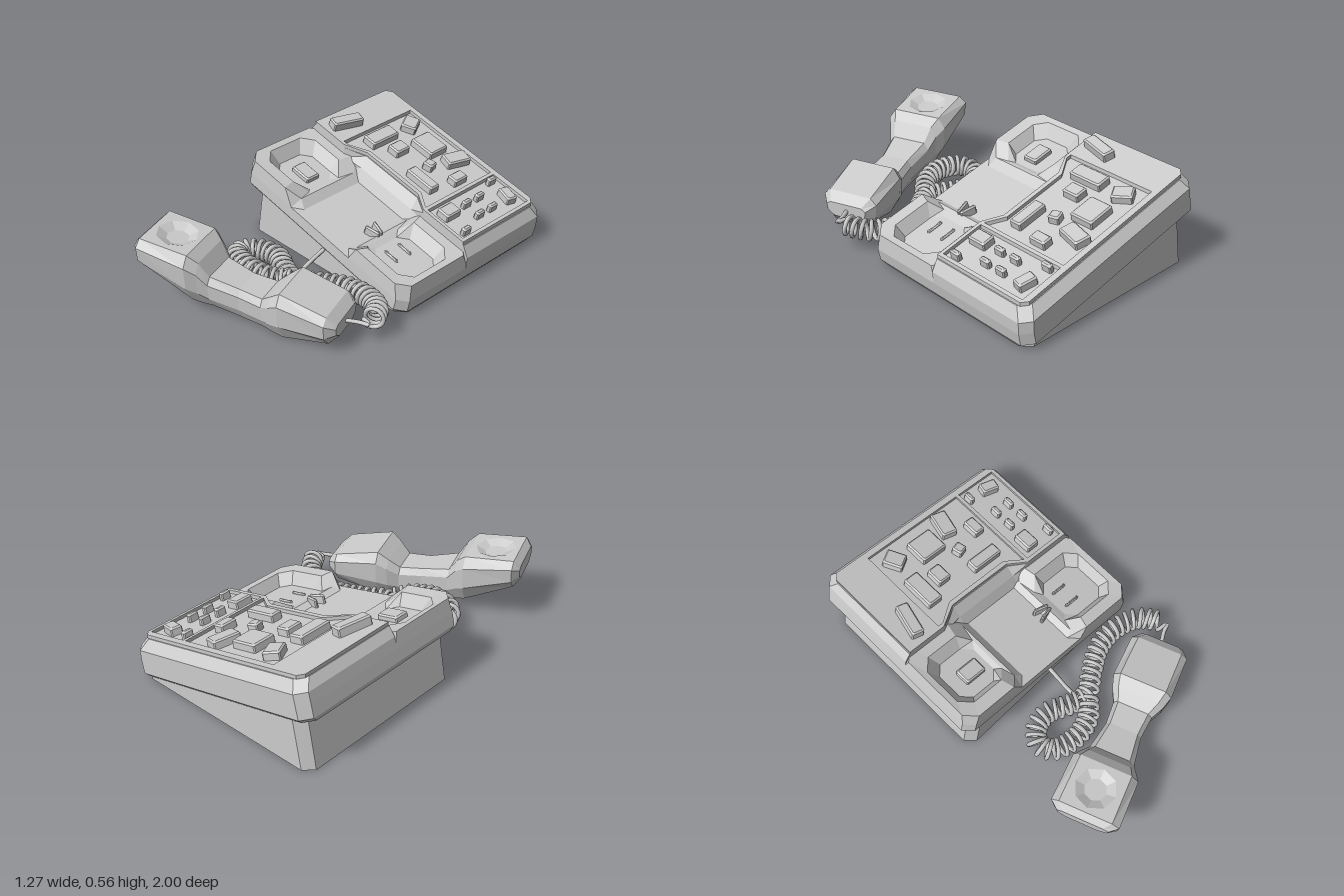
import * as THREE from 'three';

const TILT = 0.245;
const mat = new THREE.MeshStandardMaterial({ color: 0xcccccc, flatShading: true });
const smooth = new THREE.MeshStandardMaterial({ color: 0xcccccc });

// Point on the tilted console: x along it, v = height above its underside
const P = (x, v, z) => [x, 0.25 * (0.56 - x) + 1.03 * v, z];

// Skin through rings of equal count (counter-clockwise about the loft direction)
function loft(rings, { start = true, end = true, skip = () => false } = {}) {
  const pos = [];
  const tri = (a, b, c) => pos.push(...a, ...b, ...c);
  const n = rings[0].length;
  const centre = (r) => [0, 1, 2].map((k) => r.reduce((s, p) => s + p[k], 0) / n);
  for (let j = 0; j < rings.length - 1; j++) {
    for (let i = 0; i < n; i++) {
      if (skip(j, i)) continue;
      const k = (i + 1) % n, a = rings[j], b = rings[j + 1];
      tri(a[i], a[k], b[k]);
      tri(a[i], b[k], b[i]);
    }
  }
  const first = rings[0], last = rings[rings.length - 1];
  for (let i = 0; i < n; i++) {
    const k = (i + 1) % n;
    if (start) tri(first[k], first[i], centre(first));
    if (end) tri(last[i], last[k], centre(last));
  }
  const g = new THREE.BufferGeometry();
  g.setAttribute('position', new THREE.Float32BufferAttribute(pos, 3));
  g.computeVertexNormals();
  return g;
}

// Rectangle with cut corners, in x and z
const rect8 = (x0, x1, z0, z1, c) => [
  [x1, z0 + c], [x1 - c, z0], [x0 + c, z0], [x0, z0 + c],
  [x0, z1 - c], [x0 + c, z1], [x1 - c, z1], [x1, z1 - c],
];

function add(parent, name, geometry, material = mat) {
  const m = new THREE.Mesh(geometry, material);
  m.name = name;
  parent.add(m);
  return m;
}

// Bevelled block sitting on the console at height v
function key(parent, name, x, z, w, d, yaw = 0, v = 0.22, h = 0.045) {
  const ring = (y, e) => rect8(-w / 2 + e, w / 2 - e, -d / 2 + e, d / 2 - e, 0.006).map(([a, b]) => [a, y, b]);
  const m = add(parent, name, loft([ring(0, 0), ring(h - 0.008, 0), ring(h, 0.008)]));
  m.position.set(...P(x, v, z));
  m.rotation.set(0, yaw, -TILT, 'ZYX');
}

function buildConsole() {
  const g = new THREE.Group();
  g.name = 'console';

  // Wedge stand and lower tray
  const foot = rect8(-0.62, 0.55, -0.97, 0.09, 0.05).map(([x, z]) => [x, 0, z]);
  const footTop = rect8(-0.57, 0.55, -0.97, 0.09, 0.05).map(([x, z]) => P(x, 0.008, z));
  add(g, 'wedgeStand', loft([foot, footTop]));
  const level = (v, x0, x1, z0, z1) => rect8(x0, x1, z0, z1, 0.05).map(([x, z]) => P(x, v, z));
  add(g, 'lowerTray', loft([
    level(0, -0.63, 0.55, -0.97, 0.1), level(0.03, -0.64, 0.57, -1, 0.12), level(0.1, -0.625, 0.585, -1, 0.12),
  ]));

  // Raised keypad body, its front edge notched behind the handset channel
  const pad = (x0, x1, zb, notch, c = 0.05) => [
    [x1, zb + c], [x1 - c, zb], [x0 + c, zb], [x0, zb + c], [x0, -0.36],
    [-0.34, -0.36], [-0.22, notch], [0.17, notch], [0.27, -0.36], [x1, -0.36],
  ];
  const padRing = (v, ...a) => pad(...a).map(([x, z]) => P(x, v, z));
  add(g, 'keypadBody', loft([
    padRing(0.1, -0.625, 0.585, -1, -0.34), padRing(0.165, -0.61, 0.59, -1, -0.375),
    padRing(0.22, -0.575, 0.56, -0.96, -0.42),
  ]));

  // Keypad frame with two shallow recesses
  const vec = (pts) => pts.map(([x, z]) => new THREE.Vector2(x, -z));
  const shape = new THREE.Shape(vec(pad(-0.57, 0.555, -0.955, -0.425, 0.03)));
  shape.holes.push(
    new THREE.Path(vec([[-0.36, -0.92], [0.265, -0.92], [0.265, -0.385], [0.17, -0.45], [-0.22, -0.45], [-0.33, -0.38], [-0.36, -0.38]])),
    new THREE.Path(vec([[0.285, -0.92], [0.535, -0.92], [0.535, -0.38], [0.285, -0.38]])),
  );
  const frame = new THREE.ExtrudeGeometry(shape, { depth: 0.02, bevelEnabled: false });
  const p = frame.attributes.position;
  for (let i = 0; i < p.count; i++) p.setXYZ(i, ...P(p.getX(i), 0.22 + p.getZ(i), -p.getY(i)));
  frame.computeVertexNormals();
  add(g, 'keypadFrame', frame);

  // Keys: x, z, width, depth, yaw
  [
    [-0.27, -0.82, 0.09, 0.11, 0.5], [-0.085, -0.78, 0.16, 0.14], [0.08, -0.825, 0.09, 0.15, -0.25],
    [0.195, -0.71, 0.065, 0.1], [-0.28, -0.59, 0.09, 0.2], [-0.155, -0.605, 0.08, 0.1],
    [0.035, -0.655, 0.06, 0.06, 0.25], [0.1, -0.53, 0.19, 0.07], [0.31, -0.865, 0.03, 0.06],
    [0.44, -0.85, 0.1, 0.065, -0.25], [0.355, -0.465, 0.08, 0.11], [0.5, -0.44, 0.03, 0.06],
  ].forEach((k) => key(g, 'key', ...k));
  for (const x of [0.36, 0.455]) for (const z of [-0.705, -0.6]) key(g, 'smallKey', x, z, 0.03, 0.06);
  key(g, 'largeKey', -0.46, -0.49, 0.07, 0.19, -0.25, 0.235, 0.055);

  // Cradle cups: rims drop toward the channel (low = corner indices on that side)
  function cup(name, low, levels) {
    add(g, name, loft(levels.map(([v, vLow, c, ...r]) =>
      rect8(...r, c).map(([x, z], i) => P(x, low.includes(i) ? vLow : v, z)))));
  }
  cup('rightCradleCup', [0, 7], [
    [0.1, 0.1, 0.05, -0.625, -0.2, -0.42, 0.12], [0.185, 0.135, 0.06, -0.605, -0.24, -0.4, 0.115],
    [0.18, 0.13, 0.06, -0.57, -0.26, -0.3, 0.04], [0.115, 0.115, 0.05, -0.53, -0.29, -0.25, 0],
  ]);
  cup('leftCradleCup', [3, 4], [
    [0.1, 0.1, 0.05, 0.14, 0.585, -0.42, 0.12], [0.185, 0.125, 0.06, 0.18, 0.58, -0.4, 0.115],
    [0.18, 0.12, 0.06, 0.2, 0.54, -0.3, 0.05], [0.11, 0.11, 0.05, 0.23, 0.5, -0.25, 0.01],
  ]);
  key(g, 'speakerPad', -0.395, -0.115, 0.13, 0.09, 0, 0.11, 0.035);
  for (const z of [-0.17, -0.07]) key(g, 'cradleSlot', 0.315, z, 0.1, 0.014, 0, 0.105, 0.016);
  for (const s of [-1, 1]) key(g, 'hookProng', 0.14, -0.12 + s * 0.02, 0.09, 0.018, s * 0.25, 0.1, 0.05);
  return g;
}

function buildHandset() {
  const g = new THREE.Group();
  g.name = 'handset';
  // Sections: distance along, bottom, top, half width
  const S = [
    [-0.565, 0.27, 0.36, 0.14], [-0.53, 0.22, 0.395, 0.185], [-0.26, 0.08, 0.365, 0.18],
    [-0.21, 0.06, 0.32, 0.15], [-0.16, 0.05, 0.24, 0.125], [0, 0.015, 0.2, 0.1],
    [0.13, 0, 0.185, 0.11], [0.19, 0, 0.235, 0.145], [0.25, 0, 0.28, 0.165],
    [0.5, 0.04, 0.215, 0.16], [0.55, 0.09, 0.17, 0.12],
  ];
  const rings = S.map(([s, b, t, w]) => {
    const h = t - b, a = w * 0.78, f = w * 0.62;
    return [[t, -a], [t, a], [t - h * 0.2, w], [b + h * 0.35, w * 0.95], [b, f], [b, -f], [b + h * 0.35, -w * 0.95], [t - h * 0.2, -w]]
      .map(([y, z]) => [s, y, z]);
  });
  add(g, 'handsetBody', loft(rings, { skip: (j, i) => j === 1 && i === 0 }));

  // Earpiece face filling the open panel, with a faceted dish
  const [a, b] = [rings[1], rings[2]];
  const mid = (p, q) => p.map((v, k) => (v + q[k]) / 2);
  const rim = [b[0], mid(b[0], a[0]), a[0], mid(a[0], a[1]), a[1], mid(a[1], b[1]), b[1], mid(b[1], b[0])];
  const c = mid(mid(a[0], a[1]), mid(b[0], b[1]));
  const slope = (b[0][1] - a[0][1]) / (b[0][0] - a[0][0]);
  const dish = (r, drop) => rim.map((_, i) => {
    const t = -Math.PI / 4 * (i + 1), dx = r * Math.cos(t);
    return [c[0] + dx, c[1] + slope * dx - drop, r * Math.sin(t)];
  });
  add(g, 'earpieceDish', loft([rim, dish(0.11, 0), dish(0.06, 0.025)], { start: false }));
  g.position.set(-0.01, 0, 0.635);
  g.rotation.y = 0.367;
  return g;
}

function buildCord() {
  const v3 = (q) => new THREE.Vector3(...q);
  // Centre line of the coil: a loop on the left, then an arc to the right
  const path = new THREE.CatmullRomCurve3([
    [0.01, 0.08, 0.36], [-0.07, 0.1, 0.44], [-0.2, 0.12, 0.475], [-0.33, 0.11, 0.44], [-0.365, 0.09, 0.36],
    [-0.3, 0.08, 0.28], [-0.2, 0.075, 0.265], [-0.1, 0.075, 0.31], [0.02, 0.075, 0.34], [0.13, 0.08, 0.27],
    [0.26, 0.085, 0.2], [0.4, 0.095, 0.19], [0.52, 0.11, 0.24], [0.59, 0.13, 0.34],
  ].map(v3));
  const pts = [[-0.03, 0.13, 0.08], [-0.03, 0.1, 0.17], [-0.03, 0.07, 0.26]].map(v3);
  const turns = 40, per = 10, up = new THREE.Vector3(0, 1, 0);
  for (let i = 0; i <= turns * per; i++) {
    const t = i / (turns * per), ang = i / per * Math.PI * 2;
    const side = path.getTangentAt(t).cross(up).normalize();
    pts.push(path.getPointAt(t).addScaledVector(side, 0.05 * Math.cos(ang)).addScaledVector(up, 0.05 * Math.sin(ang)));
  }
  pts.push(...[[0.61, 0.13, 0.38], [0.56, 0.13, 0.4], [0.48, 0.13, 0.45]].map(v3));
  const curve = new THREE.CatmullRomCurve3(pts);
  curve.arcLengthDivisions = 2000;
  const cord = new THREE.Group();
  cord.name = 'cord';
  add(cord, 'coiledCord', new THREE.TubeGeometry(curve, 640, 0.012, 6), smooth);
  return cord;
}

export function createModel() {
  const model = new THREE.Group();
  model.name = 'deskTelephone';
  model.add(buildConsole(), buildHandset(), buildCord());
  return model;
}
